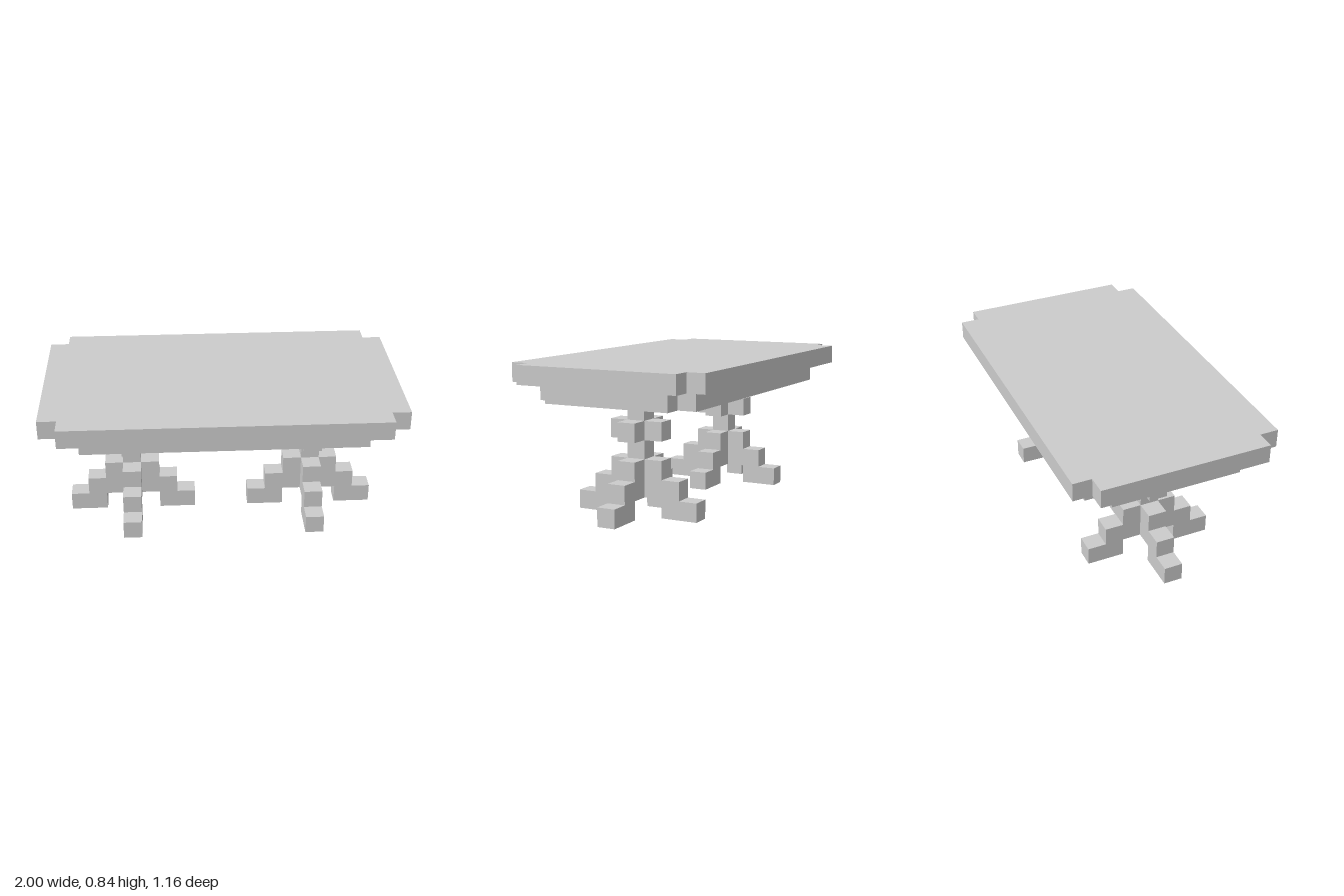
import * as THREE from 'three';

const U = 2 / 19; // one block

export function createModel() {
  const model = new THREE.Group();
  model.name = 'table';
  const material = new THREE.MeshStandardMaterial({ color: 0xcccccc, flatShading: true });

  // Box spanning two corners, given in blocks
  function block(parent, name, [x0, y0, z0], [x1, y1, z1]) {
    const geometry = new THREE.BoxGeometry((x1 - x0) * U, (y1 - y0) * U, (z1 - z0) * U);
    const mesh = new THREE.Mesh(geometry, material);
    mesh.position.set((x0 + x1) * U / 2, (y0 + y1) * U / 2, (z0 + z1) * U / 2);
    mesh.name = name;
    parent.add(mesh);
    return mesh;
  }

  // Slab with a one-block notch at each corner
  const w = 9.5, d = 5.5;
  const outline = [
    [-w + 1, -d], [w - 1, -d], [w - 1, -d + 1], [w, -d + 1], [w, d - 1], [w - 1, d - 1],
    [w - 1, d], [-w + 1, d], [-w + 1, d - 1], [-w, d - 1], [-w, -d + 1], [-w + 1, -d + 1],
  ].map(([x, y]) => new THREE.Vector2(x * U, y * U));
  const slab = new THREE.ExtrudeGeometry(new THREE.Shape(outline), { depth: U, bevelEnabled: false });
  slab.rotateX(-Math.PI / 2);
  const tabletop = new THREE.Mesh(slab, material);
  tabletop.name = 'tabletop';
  tabletop.position.y = 7 * U;
  model.add(tabletop);

  // Hollow apron of four rails, open at the corners
  block(model, 'frontRail', [-7.5, 6, 3.5], [7.5, 7, 4.5]);
  block(model, 'backRail', [-7.5, 6, -4.5], [7.5, 7, -3.5]);
  block(model, 'leftRail', [7.5, 6, -3.5], [8.5, 7, 3.5]);
  block(model, 'rightRail', [-8.5, 6, -3.5], [-7.5, 7, 3.5]);

  // Two pedestals, each with a collar and four stepped feet
  for (const [side, x] of [['left', 5], ['right', -5]]) {
    const pedestal = new THREE.Group();
    pedestal.name = side + 'Pedestal';
    pedestal.position.x = x * U;
    block(pedestal, 'column', [-0.5, 1, -0.5], [0.5, 7, 0.5]);
    for (let i = 0; i < 4; i++) {
      const arm = new THREE.Group();
      arm.name = 'foot' + (i + 1);
      arm.rotation.y = i * Math.PI / 2;
      block(arm, 'collarArm', [0.5, 4, -0.5], [1.5, 5, 0.5]);
      block(arm, 'upperStep', [0.5, 2, -0.5], [1.5, 3, 0.5]);
      block(arm, 'middleStep', [0.5, 1, -0.5], [2.5, 2, 0.5]);
      block(arm, 'footPad', [1.5, 0, -0.5], [3.5, 1, 0.5]);
      pedestal.add(arm);
    }
    model.add(pedestal);
  }
  return model;
}
